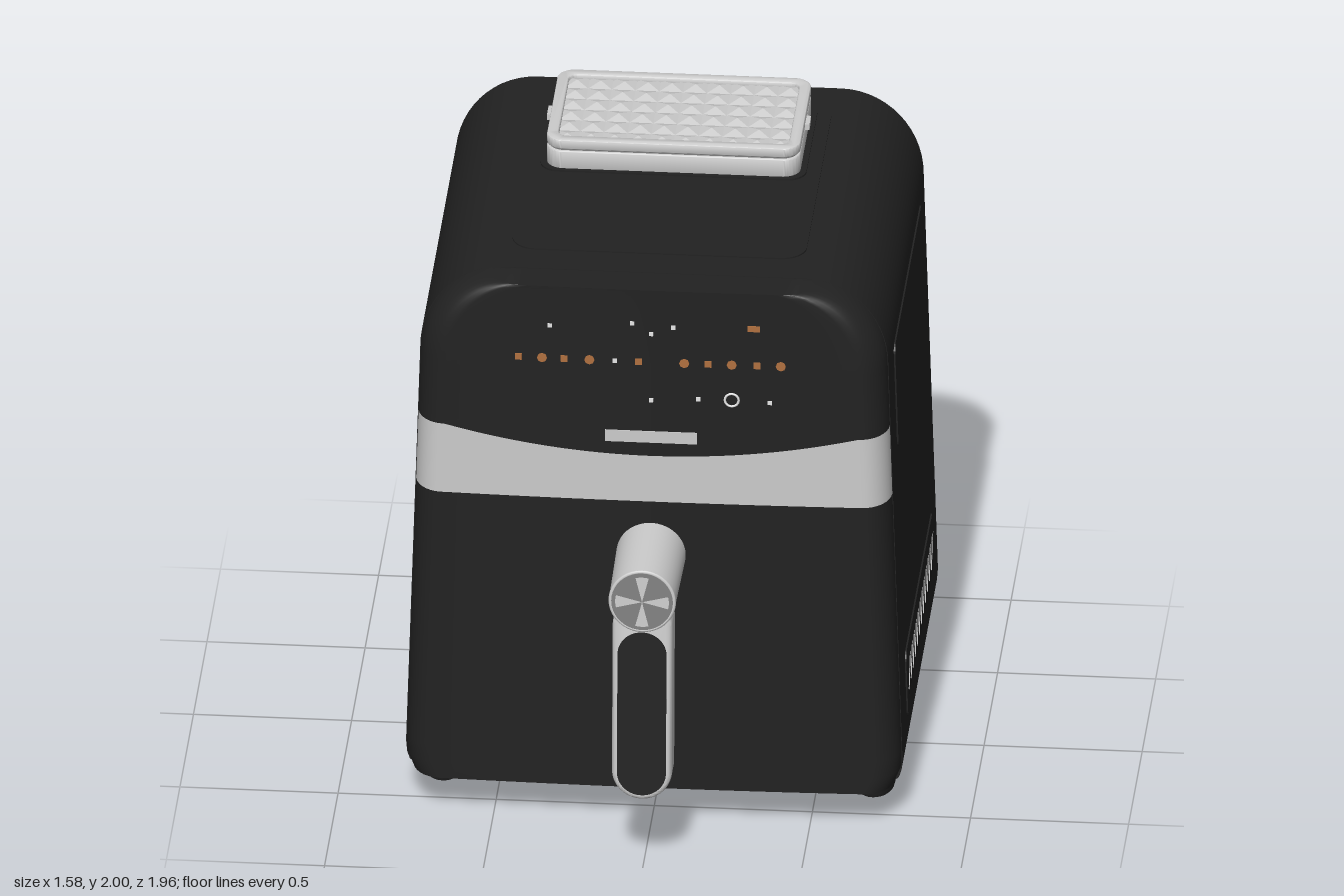
import * as THREE from 'three';
import { toCreasedNormals } from 'three/addons/utils/BufferGeometryUtils.js';
import { RoundedBoxGeometry } from 'three/addons/geometries/RoundedBoxGeometry.js';

const mat = (name, color) => new THREE.MeshStandardMaterial({ name, color });

// half width of the housing at height y
function halfWidth(y) {
  if (y < 0.2) return 0.762 + 0.023 * Math.sqrt(Math.max(0, 1 - ((0.2 - y) / 0.075) ** 2));
  if (y < 1.6) return 0.785 - 0.045 * (y - 0.2) / 1.4;
  return 0.48 + 0.26 * Math.sqrt(Math.max(0, 1 - ((y - 1.6) / 0.29) ** 2));
}
const frontZ = x => 0.62 - 0.012 * (x / 0.68) ** 2;
const heights = [0.125, 0.135, 0.16, 0.2, 1.6];
for (let i = 1; i <= 14; i++) heights.push(1.6 + 0.29 * Math.sin(i / 14 * Math.PI / 2));

function roundRect(cx, cy, w, h, r) {
  const s = new THREE.Shape(), x = cx - w / 2, y = cy - h / 2;
  s.absarc(x + w - r, y + r, r, -Math.PI / 2, 0);
  s.absarc(x + w - r, y + h - r, r, 0, Math.PI / 2);
  s.absarc(x + r, y + h - r, r, Math.PI / 2, Math.PI);
  s.absarc(x + r, y + r, r, Math.PI, Math.PI * 1.5);
  s.closePath();
  return s;
}
function extrude(shape, depth, bevel = 0, thick = bevel) {
  return toCreasedNormals(new THREE.ExtrudeGeometry(shape, {
    depth, bevelEnabled: bevel > 0, bevelSize: bevel, bevelThickness: thick, bevelSegments: 4, curveSegments: 10,
  }), 0.6);
}
const upright = (shape, depth, y, bevel) => extrude(shape, depth, bevel).rotateX(-Math.PI / 2).translate(0, y, 0);
const shapeOf = pts => new THREE.Shape(pts.map(p => new THREE.Vector2(...p)));

// moves every vertex by a rule
function warp(geo, rule) {
  const p = geo.attributes.position, v = new THREE.Vector3();
  for (let i = 0; i < p.count; i++) {
    rule(v.fromBufferAttribute(p, i));
    p.setXYZ(i, v.x, v.y, v.z);
  }
  return geo;
}

// one horizontal section of the round-cornered front, with closing ledges
function frontSection(low, high) {
  const cols = [], r = 0.09, pos = [], idx = [];
  for (let i = 0; i <= 8; i++) cols.push([-1, i / 8 * Math.PI / 2]);
  for (let i = 1; i < 24; i++) cols.push([-1 + i / 12, Math.PI / 2]);
  for (let i = 8; i >= 0; i--) cols.push([1, i / 8 * Math.PI / 2]);
  const rows = 28, n = cols.length;
  for (let j = -1; j <= rows + 1; j++) {
    const t = Math.sin(Math.min(Math.max(j / rows, 0), 1) * Math.PI / 2);
    for (const [s, a] of cols) {
      const lo = low(s), y = lo + t * (high(s) - lo), w = halfWidth(y) - 0.002;
      const x0 = s * (w - r), x = x0 + Math.sign(s) * r * Math.cos(a);
      const z = j < 0 || j > rows ? 0.5 : 0.5 + (frontZ(x0) - 0.5) * Math.sin(a);
      pos.push(x, y, z);
    }
  }
  for (let j = 0; j < rows + 2; j++) for (let i = 0; i < n - 1; i++) {
    const a = j * n + i, c = a + n;
    idx.push(a, a + 1, c + 1, a, c + 1, c);
  }
  const g = new THREE.BufferGeometry();
  g.setAttribute('position', new THREE.Float32BufferAttribute(pos, 3));
  g.setIndex(idx);
  return toCreasedNormals(g, 0.6);
}

// field of faceted pyramids facing +z
function pyramids(w, h, nx, ny, height) {
  const pos = [], dx = w / nx, dy = h / ny;
  for (let i = 0; i < nx; i++) for (let j = 0; j < ny; j++) {
    const x = -w / 2 + i * dx, y = -h / 2 + j * dy;
    const c = [[x, y, 0], [x + dx, y, 0], [x + dx, y + dy, 0], [x, y + dy, 0]];
    c.forEach((p, k) => pos.push(...p, ...c[(k + 1) % 4], x + dx / 2, y + dy / 2, height));
  }
  const g = new THREE.BufferGeometry();
  g.setAttribute('position', new THREE.Float32BufferAttribute(pos, 3));
  g.computeVertexNormals();
  return g;
}

export function createModel() {
  const model = new THREE.Group();
  model.name = 'airFryer';
  const black = mat('blackPlastic', 0x222222), dark = mat('darkSlots', 0x111111);
  const silver = mat('silver', 0xcccccc), grey = mat('grey', 0x808080);
  const orange = mat('orangeIcons', 0xb0703f), white = mat('whiteIcons', 0xe8e8e8);
  const add = (name, geo, m, x = 0, y = 0, z = 0, parent = model) => {
    const o = new THREE.Mesh(geo, m);
    o.name = name;
    o.position.set(x, y, z);
    parent.add(o);
    return o;
  };
  const box = (w, h, d) => new THREE.BoxGeometry(w, h, d);
  const disc = (r, d, n = 24) => new THREE.CylinderGeometry(r, r, d, n).rotateX(Math.PI / 2);

  // housing
  const outline = [...heights.map(y => [halfWidth(y), y]), ...heights.map(y => [-halfWidth(y), y]).reverse()];
  add('housing', extrude(shapeOf(outline), 1.31), black, 0, 0, -0.81);

  // front: drawer, curved band, control panel
  const bandTop = s => 1.302 + 0.08 * s * s;
  add('drawerFront', frontSection(() => 0.125, () => 1.14), black);
  add('band', frontSection(() => 1.14, bandTop), silver);
  add('controlPanel', frontSection(bandTop, () => 1.888), black);
  add('displayBar', box(0.29, 0.04, 0.006), silver, 0, 1.37, 0.62);

  // control panel icons
  [-0.42, -0.345, -0.275, -0.195, -0.04, 0.105, 0.18, 0.255, 0.335, 0.41].forEach((x, i) =>
    add('orangeIcon', i % 2 ? disc(0.016, 0.006, 8) : box(0.022, 0.022, 0.006), orange, x, 1.635, frontZ(x)));
  add('orangeIcon', box(0.04, 0.02, 0.006), orange, 0.325, 1.765, frontZ(0.325));
  [[-0.32, 1.75], [-0.06, 1.77], [0, 1.735], [0.07, 1.76], [-0.115, 1.635], [0, 1.5], [0.15, 1.51], [0.375, 1.505]]
    .forEach(([x, y]) => add('whiteIcon', box(0.014, 0.014, 0.006), white, x, y, frontZ(x)));
  add('powerIcon', new THREE.TorusGeometry(0.022, 0.004, 6, 16), white, 0.255, 1.51, frontZ(0.255));

  // side panels and slanted vents
  for (const dir of [1, -1]) {
    const onSide = (name, shape, depth, m, lift = 0) => add(name,
      warp(extrude(shape, depth).rotateY(dir * Math.PI / 2), v => { v.x += dir * (halfWidth(v.y) + lift); }), m);
    onSide('sidePanel', roundRect(0.175 * dir, 1.387, 0.99, 0.365, 0.03), 0.005, black);
    onSide('ventPanel', roundRect(0.175 * dir, 0.365, 0.99, 0.23, 0.03), 0.005, black);
    for (let i = 0; i < 12; i++) {
      const c = (-0.235 + i * 0.0745) * dir;
      const slot = o => shapeOf([[-0.045, 0.31], [-0.045, 0.335], [0.02, 0.42], [0.045, 0.425], [0.045, 0.4], [-0.02, 0.32]]
        .map(([u, y]) => [c + dir * u * o, y]));
      onSide('ventSlot', slot(1), 0.002, dark, 0.005);
      onSide('ventGlint', shapeOf([[-0.045, 0.335], [0.02, 0.42], [0.045, 0.425], [0.022, 0.413], [-0.041, 0.331]]
        .map(([u, y]) => [c + dir * u, y])), 0.001, silver, 0.007);
    }
  }

  // base plate and feet
  add('basePlate', upright(roundRect(0, 0.13, 1.18, 1.18, 0.08), 0.035, 0.095), silver);
  for (const x of [-0.68, 0.68]) for (const z of [0.285, -0.597]) {
    const pts = [[0, 0.012], [0.36, 0.012], [0.4, 0], [0.8, 0], [0.84, 0.012], [1, 0.14]].map(p => new THREE.Vector2(...p));
    const foot = toCreasedNormals(new THREE.LatheGeometry(pts, 32).scale(0.077, 1, 0.125), 0.5);
    add('foot', foot, black, x, 0, z);
    add('footScrew', new THREE.CylinderGeometry(0.022, 0.022, 0.006, 16), grey, x, 0.011, z);
  }

  // raised top panel and lid
  add('topPanel', upright(roundRect(0, 0.155, 0.93, 1.06, 0.08), 0.006, 1.889), black);
  add('lidSeat', upright(roundRect(0, 0.42, 0.84, 0.53, 0.06), 0.012, 1.889), black);
  add('lidBase', upright(roundRect(0, 0.415, 0.79, 0.48, 0.05), 0.055, 1.9, 0.006), silver);
  const rim = roundRect(0, 0.415, 0.79, 0.48, 0.05);
  rim.holes.push(roundRect(0, 0.415, 0.74, 0.43, 0.035));
  add('lidRim', upright(rim, 0.021, 1.973, 0.006), silver);
  add('lidSeam', upright(roundRect(0, 0.415, 0.785, 0.475, 0.05), 0.012, 1.96), grey);
  add('lidPattern', pyramids(0.75, 0.44, 10, 6, 0.012).rotateX(-Math.PI / 2), silver, 0, 1.983, -0.415);
  for (const x of [-0.405, 0.405]) add('lidClip', box(0.02, 0.02, 0.06), silver, x, 1.968, -0.415);

  // back plate with a notched top
  const half = [[0.745, 0.145], [0.77, 0.22]];
  for (const y of [1.6, 1.66, 1.72, 1.77, 1.81, 1.84]) half.push([halfWidth(y) - 0.017, y]);
  half.push([0.53, 1.85], [0.5, 1.82], [0.46, 1.8]);
  const plate = [...half, ...half.map(([x, y]) => [-x, y]).reverse()];
  add('backPlate', extrude(shapeOf(plate), 0.01), silver, 0, 0, -0.818);
  add('plateGroove', box(1.1, 0.006, 0.004), grey, 0, 1.74, -0.819);
  for (const x of [-0.73, 0.73]) for (const y of [0.32, 1.1])
    add('plateScrew', disc(0.014, 0.006, 12), dark, x, y, -0.819);

  // rear cover with pyramid relief
  const cover = roundRect(0, 0, 1.04, 0.67, 0.08);
  cover.holes.push(roundRect(0, 0, 0.92, 0.55, 0.06));
  add('rearCover', extrude(cover, 0.05, 0.03, 0.04), silver, 0, 0.675, -0.86);
  add('rearPattern', pyramids(0.92, 0.55, 5, 4, 0.028).rotateY(Math.PI), silver, 0, 0.675, -0.87);

  // air outlet
  add('outletFlange', extrude(roundRect(0, 1.395, 0.68, 0.25, 0.03), 0.016), black, 0, 0, -0.834);
  add('outletBox', new RoundedBoxGeometry(0.47, 0.2, 0.15, 3, 0.012), black, 0, 1.395, -0.895);
  add('outletBack', box(0.4, 0.08, 0.01), black, 0, 1.395, -0.971);
  for (const x of [-0.29, 0.29]) add('flangeScrew', disc(0.016, 0.006, 12), dark, x, 1.395, -0.835);
  for (let i = 0; i < 4; i++) for (let j = -2; j <= 2; j++)
    add('outletSlot', box(0.075, 0.004, 0.018), dark, j * 0.088, 1.495, -0.86 - i * 0.03);

  // cord inlet, button and warning sign
  add('button', disc(0.03, 0.02), black, -0.44, 1.37, -0.82);
  add('cordInlet', disc(0.045, 0.016), black, -0.58, 1.38, -0.82);
  add('inletRing', new THREE.TorusGeometry(0.058, 0.005, 6, 24), grey, -0.58, 1.38, -0.819);
  add('indicator', disc(0.01, 0.006, 12), dark, -0.44, 1.45, -0.819);
  const tri = s => [[-0.1 * s, -0.06 * s], [0.1 * s, -0.06 * s], [0, 0.11 * s]];
  const sign = shapeOf(tri(0.9));
  sign.holes.push(shapeOf(tri(0.72)));
  add('warningSign', extrude(sign, 0.006), grey, 0, 1.645, -0.822);
  add('warningMark', box(0.04, 0.03, 0.006), grey, 0, 1.64, -0.819);

  // drawer handle
  const lean = geo => toCreasedNormals(warp(geo, v => { v.z += (1.06 - v.y) * 0.055; }), 0.6);
  const handle = new THREE.Group();
  handle.name = 'handle';
  model.add(handle);
  add('grip', lean(extrude(roundRect(0, 0.61, 0.16, 0.66, 0.08), 0.08, 0.015, 0.02).translate(0, 0, 0.837)), silver, 0, 0, 0, handle);
  add('gripInlay', lean(extrude(roundRect(0, 0.565, 0.155, 0.56, 0.077), 0.008).translate(0, 0, 0.932)), black, 0, 0, 0, handle);
  add('hub', new THREE.CylinderGeometry(0.105, 0.11, 0.35, 40).rotateX(Math.PI / 2), silver, 0, 0.955, 0.77, handle);
  const elbow = new THREE.Shape();
  elbow.moveTo(-0.63, 0.92);
  elbow.lineTo(-0.63, 0.86);
  elbow.quadraticCurveTo(-0.83, 0.87, -0.845, 0.68);
  elbow.lineTo(-0.91, 0.68);
  elbow.lineTo(-0.91, 0.92);
  add('elbow', extrude(elbow, 0.12, 0.02).rotateY(Math.PI / 2), silver, -0.06, 0, 0, handle);

  // faceted dial on the hub
  const dial = new THREE.Group();
  dial.name = 'dial';
  dial.position.set(0, 0.955, 0.946);
  dial.rotation.x = -0.055;
  handle.add(dial);
  add('dialFace', disc(0.1, 0.008, 40), grey, 0, 0, 0.002, dial);
  add('dialRim', new THREE.TorusGeometry(0.1, 0.007, 8, 40), silver, 0, 0, 0, dial);
  for (let i = 0; i < 4; i++)
    add('dialWedge', new THREE.CircleGeometry(0.085, 6, i * Math.PI / 2 - 0.25, 0.5), silver, 0, 0, 0.009, dial);
  return model;
}
